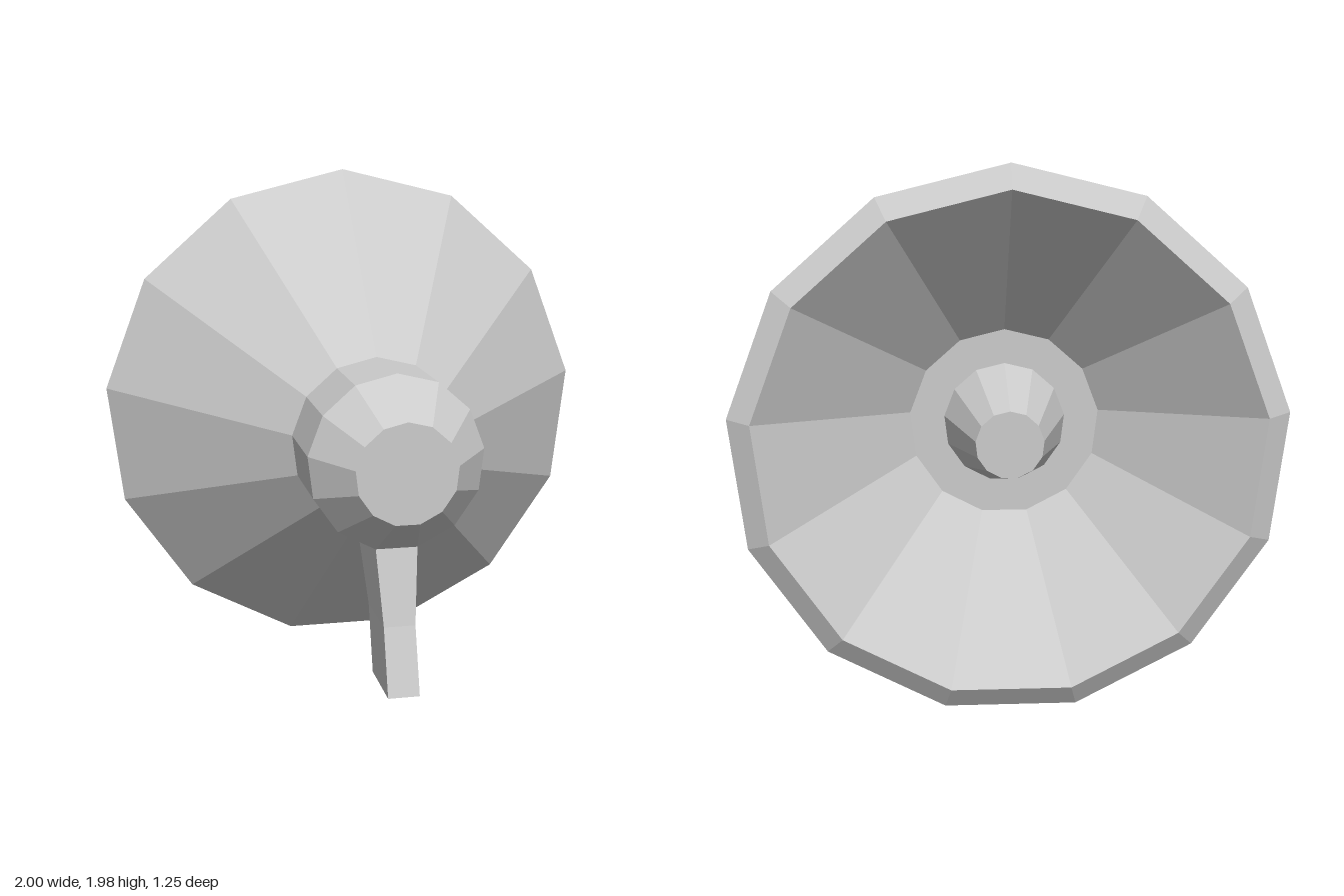
import * as THREE from 'three';

const SIDES = 13;
const AXIS_Y = 0.978;
const material = new THREE.MeshStandardMaterial({ color: 0xcccccc, flatShading: true });

// Turn a [radius, z] profile (listed back to front along the outside) around the z axis, one corner on top
function turned(name, profile) {
  const points = profile.map(([r, z]) => new THREE.Vector2(r, z));
  const geometry = new THREE.LatheGeometry(points, SIDES, Math.PI, Math.PI * 2);
  geometry.rotateX(Math.PI / 2);
  geometry.translate(0, AXIS_Y, 0);
  const mesh = new THREE.Mesh(geometry, material);
  mesh.name = name;
  return mesh;
}

// Bent grip: a box with three levels, each given its own height, half width and z range
function createHandle() {
  const levels = [
    { y: 0.12, half: 0.06, front: 0.58, back: 0.31 },
    { y: 0.37, half: 0.06, front: 0.505, back: 0.235 },
    { y: 0.657, half: 0.079, front: 0.45, back: 0.1 },
  ];
  const geometry = new THREE.BoxGeometry(2, 2, 2, 1, 2, 1);
  const p = geometry.attributes.position;
  for (let i = 0; i < p.count; i++) {
    const level = levels[Math.round(p.getY(i)) + 1];
    p.setXYZ(i, p.getX(i) * level.half, level.y, p.getZ(i) > 0 ? level.front : level.back);
  }
  geometry.computeVertexNormals();
  const mesh = new THREE.Mesh(geometry, material);
  mesh.name = 'handle';
  return mesh;
}

export function createModel() {
  const model = new THREE.Group();
  model.name = 'megaphone';
  model.add(
    // Tapered plug in the throat
    turned('innerCone', [[0, -0.52], [0.125, -0.52], [0.23, -0.17]]),
    // Throat floor, inner wall, bevelled rim and outer wall
    turned('horn', [[0, -0.17], [0.36, -0.17], [0.92, -0.625], [1.007, -0.57], [0.332, 0.1]]),
    // Barrel with bevelled front cap
    turned('body', [[0.332, 0.1], [0.332, 0.45], [0.19, 0.625], [0, 0.625]]),
    createHandle(),
  );
  return model;
}
